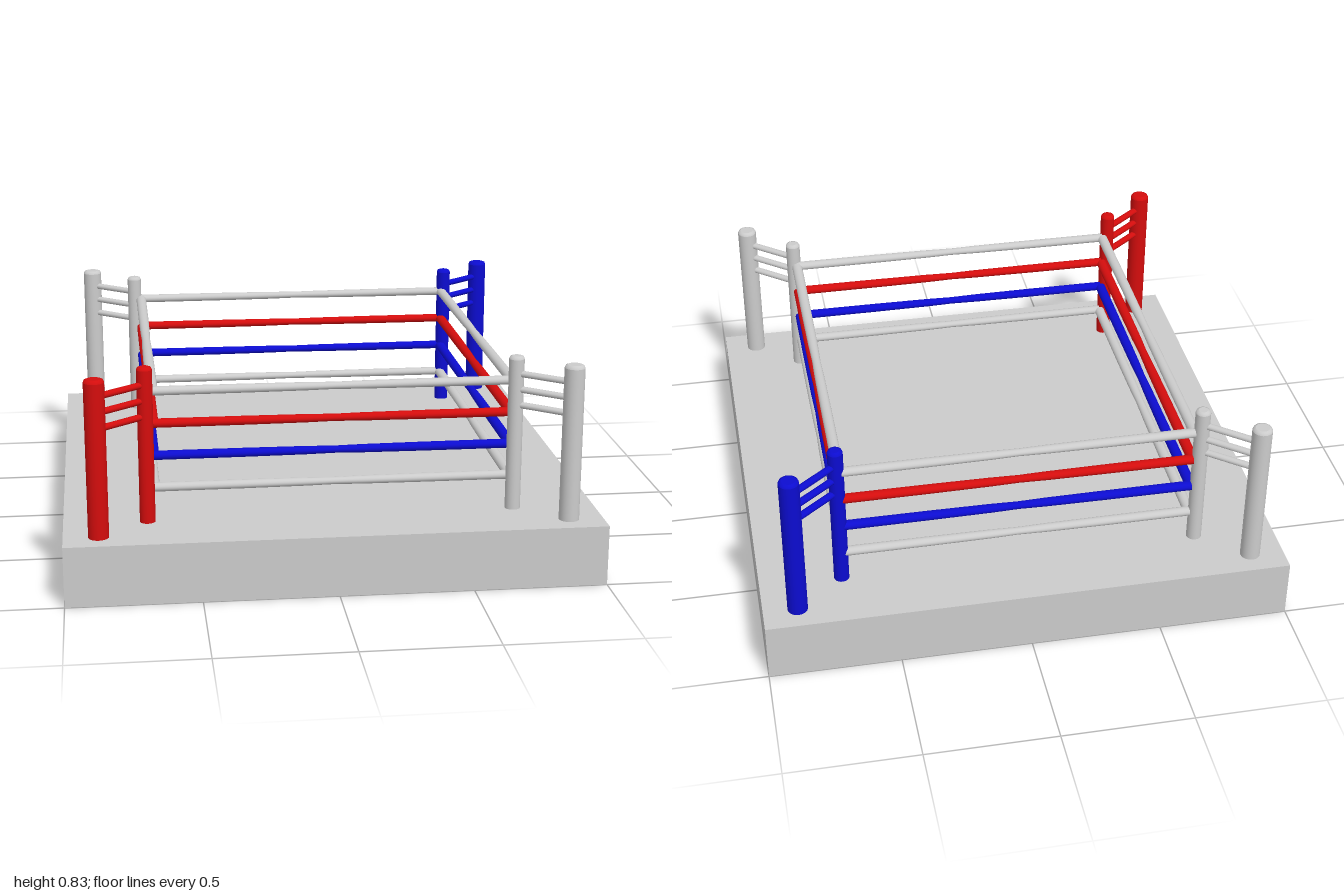
import * as THREE from 'three';

const material = (color) => new THREE.MeshStandardMaterial({ color });
const UP = new THREE.Vector3(0, 1, 0);
const DECK = 0.23;
const TOP = 0.825;

export function createModel() {
  const model = new THREE.Group();
  model.name = 'boxingRing';
  const grey = material(0xcccccc);
  const red = material(0xd40d0d);
  const blue = material(0x0c0cd0);

  const add = (parent, name, geometry, mat) => {
    const mesh = new THREE.Mesh(geometry, mat);
    mesh.name = name;
    parent.add(mesh);
    return mesh;
  };

  // Platform
  add(model, 'platform', new THREE.BoxGeometry(2, DECK, 2), grey).position.y = DECK / 2;

  // Round post with a softly rounded top edge
  const postGeometry = (r) => {
    const h = TOP - DECK;
    const b = 0.012;
    const profile = [[0, 0], [r, 0], [r, 0], [r, h - b], [r, h - b], [r - b * 0.3, h - b * 0.3], [r - b, h], [r - b, h], [0, h]];
    return new THREE.LatheGeometry(profile.map(([x, y]) => new THREE.Vector2(x, y)), 24);
  };
  const outerPost = postGeometry(0.038);
  const innerPost = postGeometry(0.029);

  // Corner: outer post, inner post and three tie bars between them
  const addCorner = (name, sx, sz, mat) => {
    const corner = new THREE.Group();
    corner.name = name;
    const outer = new THREE.Vector3(sx * 0.87, DECK, sz * 0.902);
    const inner = new THREE.Vector3(sx * 0.688, DECK, sz * 0.753);
    add(corner, 'outerPost', outerPost, mat).position.copy(outer);
    add(corner, 'innerPost', innerPost, mat).position.copy(inner);
    const span = inner.clone().sub(outer);
    for (const y of [0.757, 0.697, 0.637]) {
      const geometry = new THREE.CylinderGeometry(1, 1, span.length(), 12);
      geometry.rotateX(Math.PI / 2);
      geometry.scale(0.015, 0.012, 1);
      const bar = add(corner, 'tieBar', geometry, mat);
      bar.position.copy(outer).add(inner).multiplyScalar(0.5).setY(y);
      bar.rotation.y = Math.atan2(span.x, span.z);
    }
    model.add(corner);
  };
  addCorner('redCorner', -1, 1, red);
  addCorner('blueCorner', 1, -1, blue);
  addCorner('frontNeutralCorner', 1, 1, grey);
  addCorner('backNeutralCorner', -1, -1, grey);

  // Rope: slightly slimmer in the middle, a little wider than tall
  const ropeGeometry = (length) => {
    const half = length / 2;
    const stations = [[-1, 0], [-1, 0.021], [-1, 0.021], [-0.5, 0.0205], [-0.16, 0.019], [0, 0.0165],
      [0.16, 0.019], [0.5, 0.0205], [1, 0.021], [1, 0.021], [1, 0]];
    const geometry = new THREE.LatheGeometry(stations.map(([t, r]) => new THREE.Vector2(r, t * half)), 16);
    geometry.rotateZ(-Math.PI / 2);
    geometry.scale(1, 0.8, 1);
    return geometry;
  };
  const crossRope = ropeGeometry(1.34);
  const sideRope = ropeGeometry(1.47);

  // Four ropes on each of the four sides
  const levels = [[0.725, grey], [0.602, red], [0.478, blue], [0.355, grey]];
  const sides = [
    ['frontRope', crossRope, 0.01, 0.73, 0],
    ['backRope', crossRope, 0.01, -0.755, 0],
    ['leftRope', sideRope, 0.677, -0.012, Math.PI / 2],
    ['rightRope', sideRope, -0.66, -0.012, Math.PI / 2],
  ];
  for (const [name, geometry, x, z, turn] of sides) {
    for (const [y, mat] of levels) {
      const rope = add(model, name, geometry, mat);
      rope.position.set(x, y, z);
      rope.rotateOnAxis(UP, turn);
    }
  }

  return model;
}
